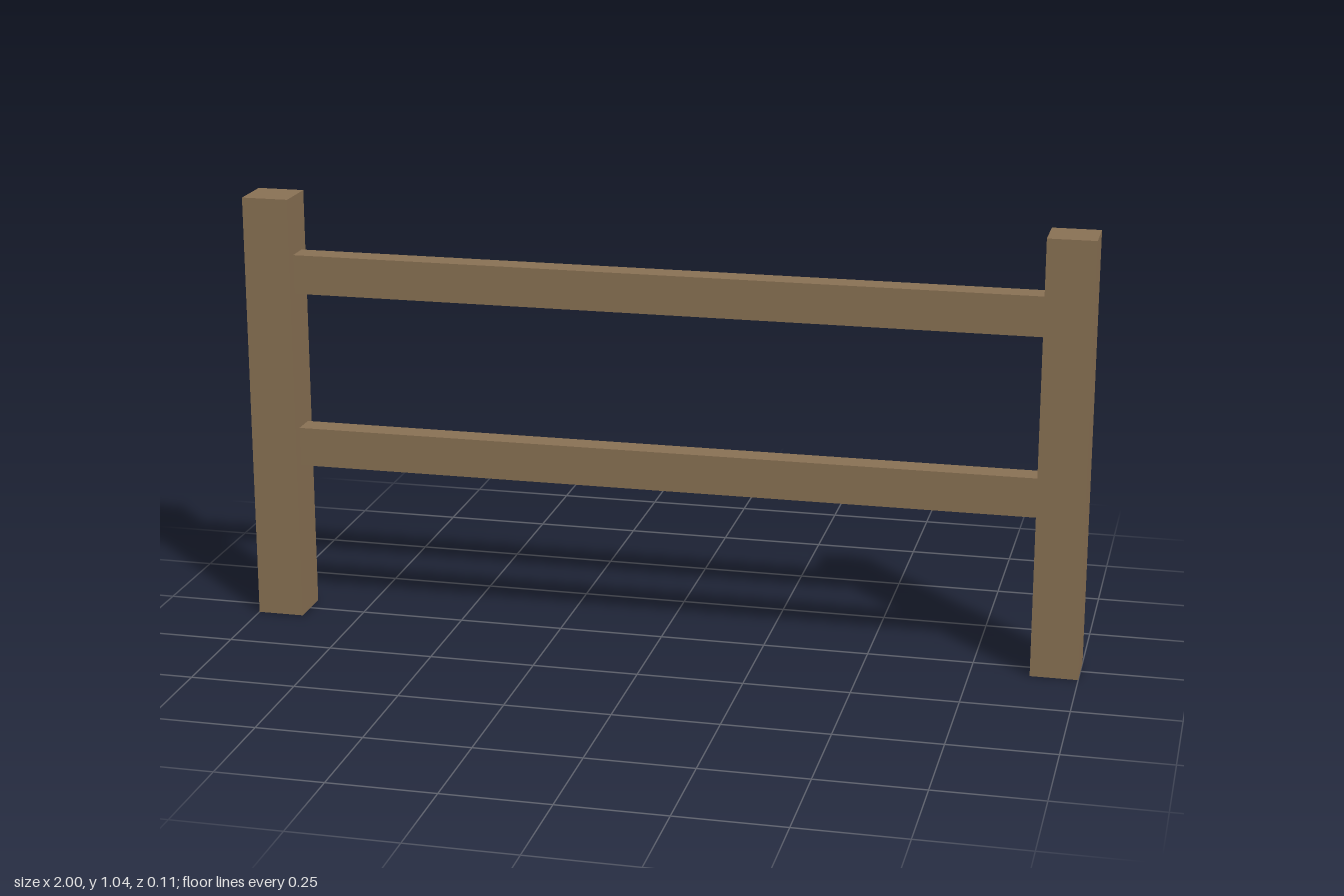
import * as THREE from 'three';

export function createModel() {
  const model = new THREE.Group();
  model.name = 'fence';
  const wood = new THREE.MeshStandardMaterial({ color: 0x8b7355 });
  wood.name = 'brown wood';

  const POST = 0.112, HEIGHT = 1.038;
  const RAIL_HEIGHT = 0.094, RAIL_DEPTH = 0.06;

  function beam(name, w, h, d, x, y) {
    const mesh = new THREE.Mesh(new THREE.BoxGeometry(w, h, d), wood);
    mesh.name = name;
    mesh.position.set(x, y, 0);
    model.add(mesh);
  }

  // Square end posts
  for (const side of [-1, 1]) {
    beam(side > 0 ? 'leftPost' : 'rightPost', POST, HEIGHT, POST, side * (1 - POST / 2), HEIGHT / 2);
  }

  // Horizontal rails spanning between the posts
  const span = 2 - 2 * POST;
  beam('lowerRail', span, RAIL_HEIGHT, RAIL_DEPTH, 0, 0.425);
  beam('upperRail', span, RAIL_HEIGHT, RAIL_DEPTH, 0, 0.852);

  return model;
}
